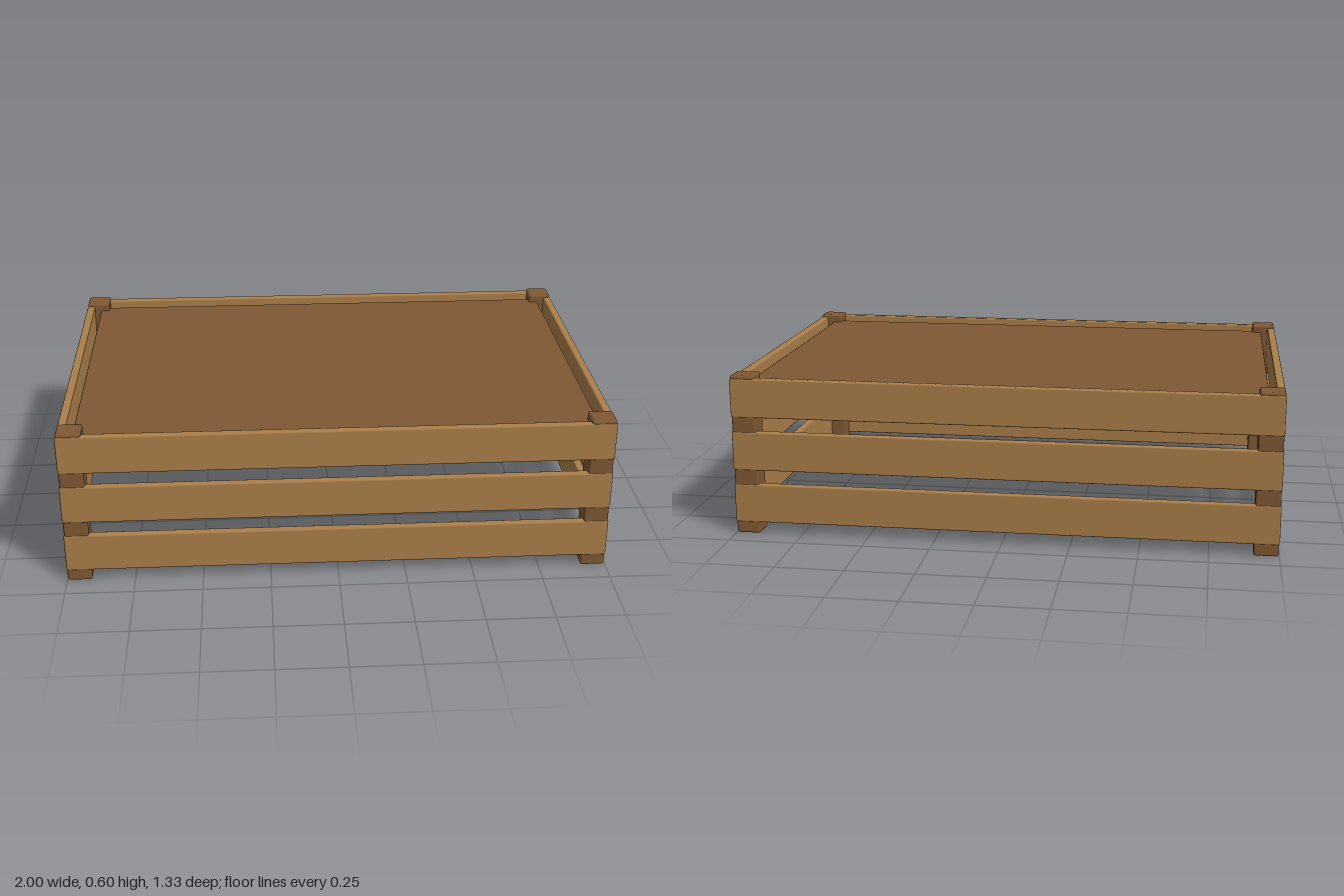
import * as THREE from 'three';
import { RoundedBoxGeometry } from 'three/addons/geometries/RoundedBoxGeometry.js';

export function createModel() {
  const crate = new THREE.Group();
  crate.name = 'slattedCrate';

  const lightWood = new THREE.MeshStandardMaterial({ color: 0xab7f4a });
  lightWood.name = 'lightWood';
  const darkWood = new THREE.MeshStandardMaterial({ color: 0x805833 });
  darkWood.name = 'darkWood';

  // Softly bevelled timber, placed by its centre
  function timber(name, size, position, bevel, material) {
    const mesh = new THREE.Mesh(new RoundedBoxGeometry(...size, 1, bevel), material);
    mesh.name = name;
    mesh.position.set(...position);
    crate.add(mesh);
  }

  const halfX = 1, halfZ = 0.665, height = 0.6;
  const post = 0.09, slatThick = 0.03, slatHeight = 0.146;
  const inset = 0.002; // posts sit a hair behind the slat faces

  // Corner posts
  for (const sx of [-1, 1]) {
    for (const sz of [-1, 1]) {
      const x = sx * (halfX - post / 2 - inset);
      const z = sz * (halfZ - post / 2 - inset);
      timber('cornerPost', [post, height, post], [x, height / 2, z], 0.008, darkWood);
    }
  }

  // Three rows of slats on all four sides
  for (const y of [0.117, 0.317, 0.517]) {
    for (const s of [-1, 1]) {
      timber(s > 0 ? 'frontSlat' : 'backSlat', [2 * halfX, slatHeight, slatThick],
        [0, y, s * (halfZ - slatThick / 2)], 0.006, lightWood);
      timber(s > 0 ? 'leftSlat' : 'rightSlat', [slatThick, slatHeight, 2 * (halfZ - slatThick)],
        [s * (halfX - slatThick / 2), y, 0], 0.006, lightWood);
    }
  }

  // Panel set just below the rim
  timber('topPanel', [1.89, 0.03, 1.225], [0, 0.555, 0], 0.007, darkWood);

  return crate;
}
